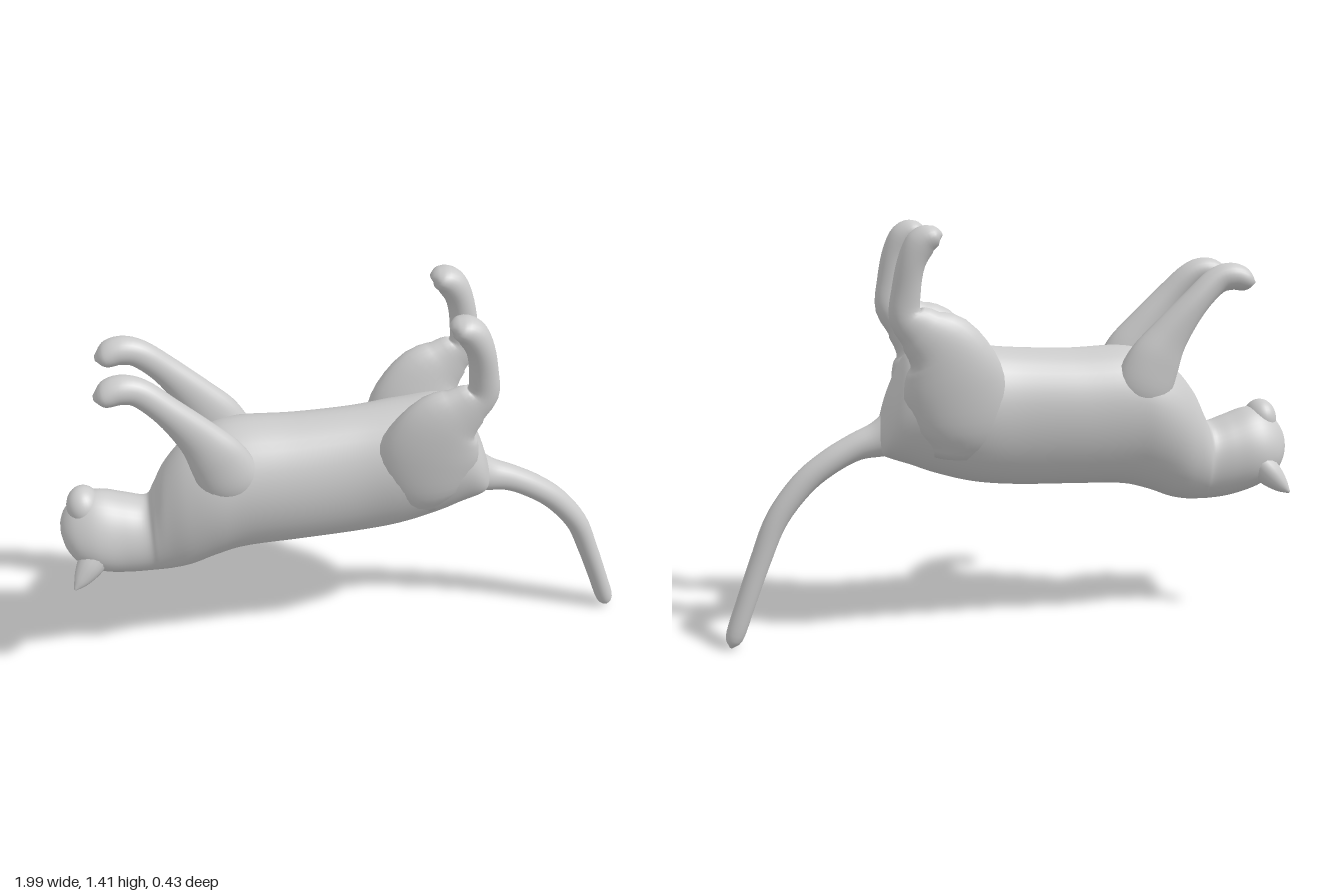
import * as THREE from 'three';

const material = new THREE.MeshStandardMaterial({ color: 0xcccccc, side: THREE.DoubleSide });

// Smooth loft through stations [x, y, z, radius in the xy plane, radius across, egg factor].
// With upright set, every ring stands square to the x axis; otherwise it follows the path.
function loft(name, stations, { steps = 40, sides = 28, upright = false } = {}) {
  const path = new THREE.CatmullRomCurve3(
    stations.map(s => new THREE.Vector3(s[0], s[1], s[2])), false, 'catmullrom');
  const size = new THREE.CatmullRomCurve3(
    stations.map(s => new THREE.Vector3(s[3], s[4], s[5] || 0)), false, 'catmullrom');
  const positions = [], index = [];
  for (let i = 0; i <= steps; i++) {
    const c = path.getPoint(i / steps), r = size.getPoint(i / steps);
    const t = upright ? new THREE.Vector3(1, 0, 0) : path.getTangent(i / steps);
    const side = new THREE.Vector3(0, 0, 1).addScaledVector(t, -t.z).normalize();
    const normal = side.clone().cross(t);
    for (let j = 0; j < sides; j++) {
      const a = j / sides * Math.PI * 2;
      const p = c.clone()
        .addScaledVector(normal, Math.max(r.x, 0.002) * Math.cos(a))
        .addScaledVector(side, Math.max(r.y, 0.002) * Math.sin(a) * (1 + r.z * Math.cos(a)));
      positions.push(p.x, p.y, p.z);
      if (i < steps) {
        const k = (j + 1) % sides, b = i * sides, n = b + sides;
        index.push(b + j, b + k, n + j, b + k, n + k, n + j);
      }
    }
  }
  // Close both ends
  const last = steps * sides;
  for (let j = 1; j < sides - 1; j++) {
    index.push(0, j + 1, j, last, last + j, last + j + 1);
  }
  const geometry = new THREE.BufferGeometry();
  geometry.setAttribute('position', new THREE.Float32BufferAttribute(positions, 3));
  geometry.setIndex(index);
  geometry.computeVertexNormals();
  const mesh = new THREE.Mesh(geometry, material);
  mesh.name = name;
  return mesh;
}

// Head, neck and torso: [x, spine y, belly y, half width, egg factor]
const torso = [
  [-1.0, 0.58, 0.635, 0.03, 0],
  [-0.985, 0.53, 0.67, 0.07, -0.1],
  [-0.95, 0.485, 0.71, 0.105, -0.2],
  [-0.9, 0.455, 0.735, 0.125, -0.2],
  [-0.85, 0.435, 0.735, 0.13, -0.15],
  [-0.78, 0.418, 0.712, 0.122, -0.05],
  [-0.71, 0.412, 0.695, 0.115, 0],
  [-0.68, 0.413, 0.74, 0.125, 0],
  [-0.64, 0.415, 0.82, 0.14, 0],
  [-0.57, 0.43, 0.9, 0.165, 0.05],
  [-0.48, 0.465, 0.955, 0.18, 0.1],
  [-0.38, 0.49, 0.978, 0.178, 0.1],
  [-0.2, 0.5, 0.975, 0.172, 0.08],
  [0.0, 0.51, 0.985, 0.165, 0.08],
  [0.15, 0.53, 1.0, 0.175, 0.12],
  [0.28, 0.568, 1.01, 0.175, 0.15],
  [0.36, 0.6, 0.98, 0.16, 0.15],
  [0.42, 0.622, 0.87, 0.125, 0.1],
  [0.455, 0.64, 0.77, 0.075, 0],
  [0.47, 0.68, 0.72, 0.02, 0],
];

const frontLeg = [
  [-0.40, 0.76, 0.10, 0.06, 0.04],
  [-0.42, 0.83, 0.115, 0.10, 0.06],
  [-0.46, 0.93, 0.12, 0.095, 0.055],
  [-0.515, 1.02, 0.12, 0.07, 0.047],
  [-0.60, 1.125, 0.12, 0.05, 0.042],
  [-0.68, 1.20, 0.115, 0.046, 0.042],
  [-0.74, 1.217, 0.115, 0.046, 0.048],
  [-0.79, 1.202, 0.115, 0.036, 0.048],
  [-0.82, 1.195, 0.115, 0.008, 0.015],
];

const hindLeg = [
  [0.23, 0.64, 0.10, 0.07, 0.03],
  [0.22, 0.74, 0.115, 0.14, 0.07],
  [0.23, 0.88, 0.125, 0.17, 0.08],
  [0.27, 1.0, 0.14, 0.135, 0.068],
  [0.34, 1.07, 0.148, 0.085, 0.05],
  [0.392, 1.12, 0.15, 0.055, 0.04],
  [0.39, 1.2, 0.155, 0.047, 0.04],
  [0.373, 1.29, 0.16, 0.045, 0.046],
  [0.34, 1.352, 0.16, 0.048, 0.052],
  [0.3, 1.374, 0.16, 0.035, 0.05],
  [0.275, 1.38, 0.16, 0.008, 0.015],
];

const ear = [
  [-0.88, 0.55, 0.075, 0.05, 0.055],
  [-0.915, 0.51, 0.105, 0.045, 0.045],
  [-0.945, 0.477, 0.132, 0.028, 0.025],
  [-0.97, 0.452, 0.152, 0.004, 0.004],
];

const tail = [
  [0.38, 0.72, 0.015, 0.09, 0.08],
  [0.46, 0.69, 0.015, 0.062, 0.056],
  [0.54, 0.667, 0.015, 0.047, 0.046],
  [0.63, 0.62, 0.015, 0.043, 0.044],
  [0.72, 0.55, 0.015, 0.041, 0.042],
  [0.81, 0.435, 0.012, 0.038, 0.04],
  [0.87, 0.295, 0.008, 0.035, 0.037],
  [0.925, 0.15, 0.003, 0.033, 0.035],
  [0.965, 0.04, 0, 0.03, 0.031],
  [0.978, 0.004, 0, 0.006, 0.008],
];

export function createModel() {
  const group = new THREE.Group();
  group.name = 'cat';

  group.add(loft('headAndBody',
    torso.map(([x, low, high, w, egg]) => [x, (low + high) / 2, 0.006, (high - low) / 2, w, egg]),
    { steps: 110, sides: 40, upright: true }));
  group.add(loft('tail', tail));

  // Muzzle pointing up from the overturned head
  const muzzle = new THREE.Mesh(new THREE.SphereGeometry(1, 28, 20), material);
  muzzle.name = 'muzzle';
  muzzle.scale.set(0.057, 0.07, 0.068);
  muzzle.position.set(-0.915, 0.693, 0.006);
  group.add(muzzle);

  // Paired parts, mirrored across the body
  for (const [sideName, s] of [['right', 1], ['left', -1]]) {
    const mirrored = (points, offset) => points.map(([x, y, z, ...r]) => [x, y, z * s + offset, ...r]);
    group.add(loft(sideName + 'FrontLeg', mirrored(frontLeg, 0.008)));
    group.add(loft(sideName + 'HindLeg', mirrored(hindLeg, 0)));
    group.add(loft(sideName + 'Ear', mirrored(ear, 0.004), { steps: 14, sides: 16 }));
  }
  return group;
}
